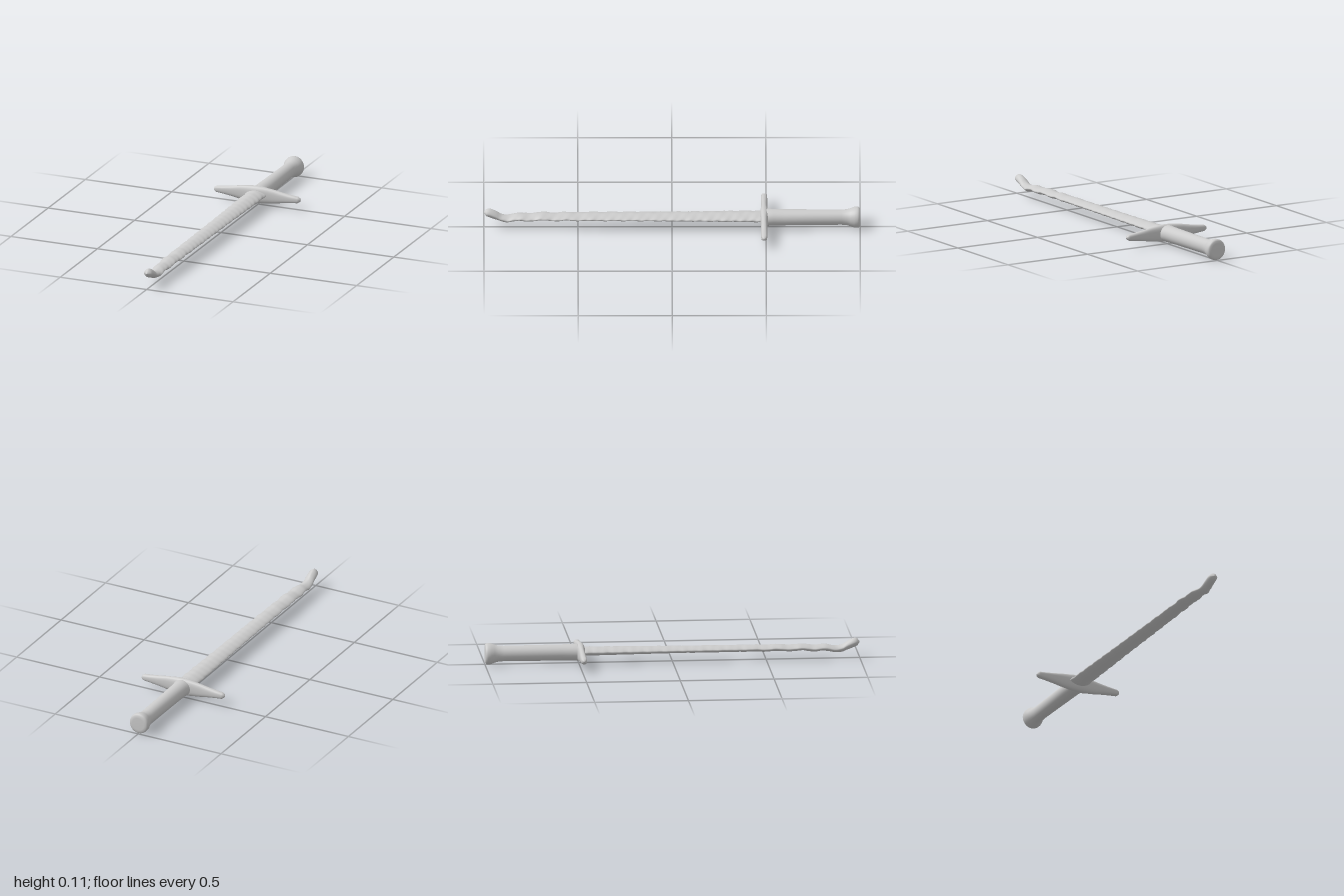
import * as THREE from 'three';

const AXIS_Y = 0.057;
const material = new THREE.MeshStandardMaterial({ color: 0xcccccc, side: THREE.DoubleSide });

// Interpolate rows of [z, centre x, centre y, half width, half height] at z
function sample(keys, z) {
  let i = 0;
  while (i < keys.length - 2 && z > keys[i + 1][0]) i++;
  const [a, b] = [keys[i], keys[i + 1]];
  const t = THREE.MathUtils.clamp((z - a[0]) / (b[0] - a[0]), 0, 1);
  return a.map((v, k) => v + (b[k] - v) * t);
}

// Skin rings along z; power 1 is an ellipse, larger values give a sharper lens
function loft(rows, sides, power = 1, rough = () => 0) {
  const pos = [], index = [];
  const bend = v => Math.sign(v) * Math.abs(v) ** power;
  rows.forEach(([z, cx, cy, rx, ry], i) => {
    for (let j = 0; j < sides; j++) {
      const a = (j / sides) * Math.PI * 2;
      const s = 1 + rough(z, a);
      pos.push(cx + bend(Math.cos(a)) * rx * s, cy + bend(Math.sin(a)) * ry * s, z);
      if (i < rows.length - 1) {
        const p = i * sides + j, q = i * sides + (j + 1) % sides;
        index.push(p, q, p + sides, q, q + sides, p + sides);
      }
    }
  });
  const geo = new THREE.BufferGeometry();
  geo.setAttribute('position', new THREE.Float32BufferAttribute(pos, 3));
  geo.setIndex(index);
  geo.computeVertexNormals();
  return geo;
}

function part(name, geometry) {
  const mesh = new THREE.Mesh(geometry, material);
  mesh.name = name;
  return mesh;
}

export function createModel() {
  const group = new THREE.Group();
  group.name = 'sword';

  // Blade: worn lens section, rippling towards a rounded, upturned tip
  const bladeKeys = [
    [-0.5, 0, 0.062, 0.056, 0.024],
    [-0.3, 0, 0.062, 0.054, 0.022],
    [0, 0, 0.062, 0.049, 0.019],
    [0.4, 0, 0.062, 0.045, 0.018],
    [0.7, -0.002, 0.061, 0.042, 0.018],
    [0.8, -0.002, 0.058, 0.039, 0.018],
    [0.87, -0.002, 0.052, 0.034, 0.018],
    [0.91, -0.002, 0.056, 0.029, 0.02],
    [0.94, -0.001, 0.072, 0.027, 0.025],
    [0.97, -0.001, 0.084, 0.026, 0.026],
    [0.99, 0, 0.086, 0.02, 0.019],
    [1, 0, 0.087, 0, 0],
  ];
  const blade = [];
  for (let i = 0; i <= 120; i++) {
    const z = -0.5 + i * 0.0125;
    const row = sample(bladeKeys, z);
    const wear = THREE.MathUtils.smoothstep(z, 0.2, 0.8) * (1 - THREE.MathUtils.smoothstep(z, 0.88, 0.95));
    row[2] += 0.003 * wear * Math.sin(z * 48);
    blade.push(row);
  }
  const rough = (z, a) => z > 0.93 ? 0 :
    0.03 * Math.sin(z * 71 + 3 * Math.cos(a)) + 0.025 * Math.sin(z * 133 + 2 * Math.sin(a) + a * 2);
  group.add(part('blade', loft(blade, 24, 1.25, rough)));

  // Crossguard: tall in the middle, tapering to blunt ends
  const halfGuard = [
    [0, 0.024, 0.047], [0.03, 0.023, 0.046], [0.06, 0.019, 0.042], [0.1, 0.017, 0.037],
    [0.15, 0.017, 0.028], [0.2, 0.017, 0.021], [0.235, 0.016, 0.017],
    [0.246, 0.011, 0.01], [0.251, 0, 0],
  ];
  const mirrored = halfGuard.slice(1).reverse().map(([d, w, h]) => [-d, w, h]);
  const guardRows = [...mirrored, ...halfGuard].map(([d, w, h]) => [d, 0, 0, w, h]);
  const guard = part('crossguard', loft(guardRows, 24, 0.8));
  guard.rotation.y = Math.PI / 2;
  guard.position.set(0, AXIS_Y + 0.001, -0.49);
  group.add(guard);

  // Grip flaring into a flat, round-edged pommel
  const gripProfile = [
    [-1, 0, 0], [-1, 0.035, 0.035], [-0.999, 0.046, 0.048], [-0.994, 0.053, 0.055],
    [-0.985, 0.055, 0.057], [-0.968, 0.054, 0.056], [-0.95, 0.047, 0.049],
    [-0.93, 0.041, 0.043], [-0.9, 0.039, 0.041], [-0.75, 0.041, 0.042],
    [-0.6, 0.044, 0.043], [-0.54, 0.045, 0.044], [-0.51, 0.05, 0.045],
    [-0.48, 0.047, 0.041], [-0.47, 0, 0],
  ];
  group.add(part('gripAndPommel', loft(gripProfile.map(([z, w, h]) => [z, 0, AXIS_Y, w, h]), 32)));

  return group;
}
